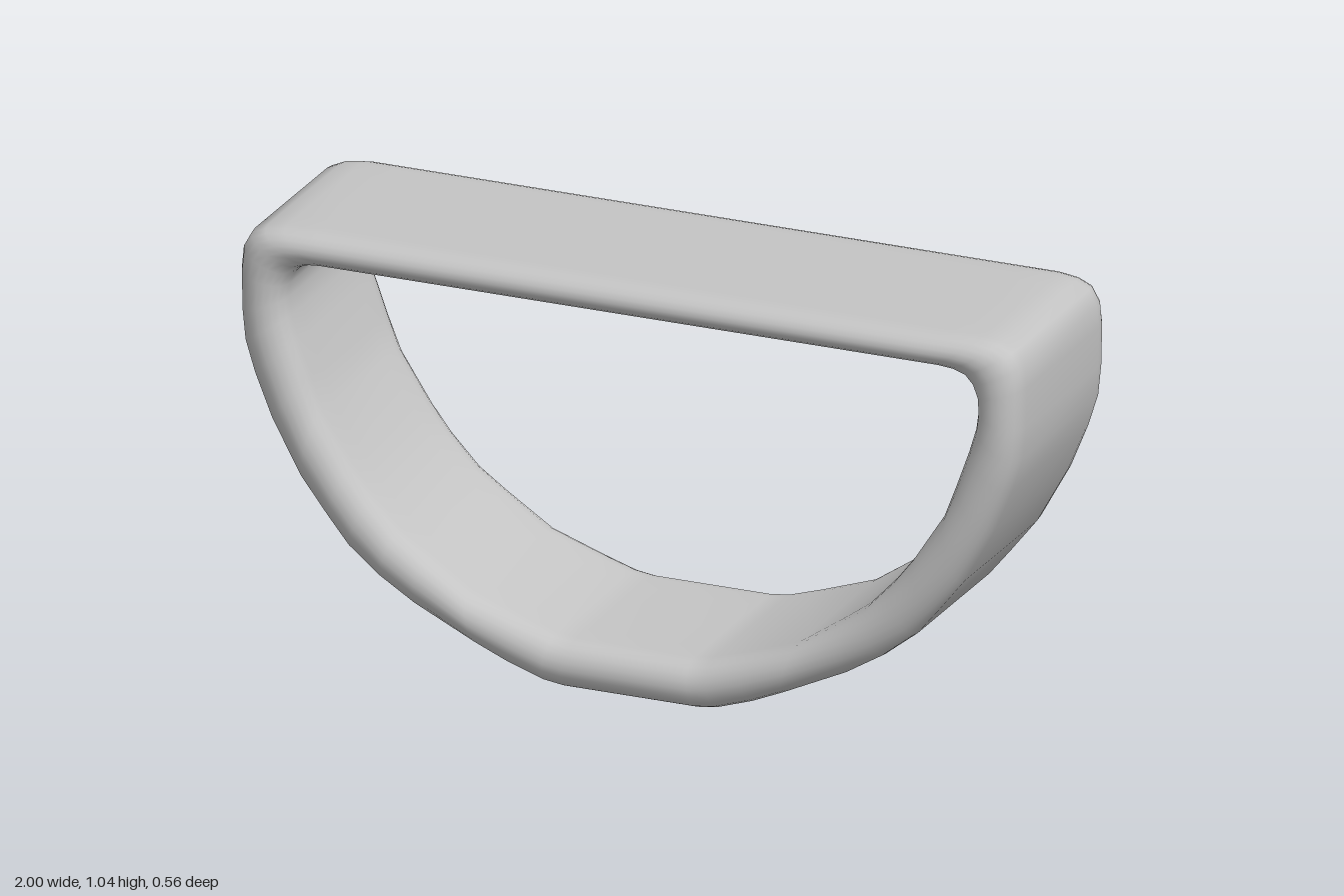
import * as THREE from 'three';

// Half outline, bottom centre to top centre: [outerX, outerY, innerX, innerY]
const HALF = [
  [0, 0.003, 0, 0.12], [0.17, 0.003, 0.15, 0.12], [0.22, 0.01, 0.2, 0.127],
  [0.31, 0.04, 0.28, 0.152], [0.39, 0.075, 0.42, 0.2], [0.55, 0.15, 0.53, 0.275],
  [0.64, 0.205, 0.6, 0.325], [0.72, 0.268, 0.67, 0.4], [0.775, 0.335, 0.72, 0.465],
  [0.842, 0.42, 0.8, 0.59], [0.92, 0.56, 0.83, 0.67], [0.965, 0.67, 0.862, 0.76],
  [0.99, 0.75, 0.88, 0.82], [0.998, 0.83, 0.886, 0.865], [1, 0.93, 0.883, 0.9],
  [0.995, 0.985, 0.87, 0.93], [0.975, 1.022, 0.85, 0.95], [0.94, 1.038, 0.82, 0.96],
  [0.89, 1.045, 0.78, 0.963], [0.8, 1.045, 0.72, 0.963], [0, 1.045, 0, 0.963],
];
const HALF_DEPTH = 0.28, ROUND = 0.07, CAP_STEPS = 10;

// Cross-section loop: [t across the wall (0 outer, 1 inner), z]
function wallSection() {
  const front = [[0, 0.15]];
  for (let i = 0; i <= CAP_STEPS; i++) {
    const a = Math.PI * i / CAP_STEPS;
    const z = HALF_DEPTH - ROUND + ROUND * Math.pow(Math.max(0, Math.sin(a)), 0.85);
    front.push([0.5 - 0.5 * Math.cos(a), z]);
  }
  front.push([1, 0.15]);
  const back = front.map(([t, z]) => [t, -z]).reverse();
  return [...front, ...back];
}

// Closed ring swept around the outline with shared, smooth vertices
function ringGeometry() {
  const mirrored = HALF.slice(1, -1).reverse().map(([a, b, c, d]) => [-a, b, -c, d]);
  const outline = [...HALF, ...mirrored];
  const section = wallSection();
  const n = outline.length, m = section.length;
  const positions = [], index = [];
  for (const [ox, oy, ix, iy] of outline) {
    for (const [t, z] of section) positions.push(ox + (ix - ox) * t, oy + (iy - oy) * t, z);
  }
  for (let i = 0; i < n; i++) {
    for (let j = 0; j < m; j++) {
      const i2 = (i + 1) % n, j2 = (j + 1) % m;
      const a = i * m + j, b = i2 * m + j, c = i2 * m + j2, d = i * m + j2;
      index.push(a, b, d, b, c, d);
    }
  }
  const g = new THREE.BufferGeometry();
  g.setAttribute('position', new THREE.Float32BufferAttribute(positions, 3));
  g.setIndex(index);
  g.computeVertexNormals();
  return g;
}

export function createModel() {
  const group = new THREE.Group();
  group.name = 'halfRoundRing';
  const grey = new THREE.MeshStandardMaterial({ color: 0xc4c4c4 });
  grey.name = 'light grey';
  const ring = new THREE.Mesh(ringGeometry(), grey);
  ring.name = 'flatToppedRing';
  group.add(ring);
  return group;
}
